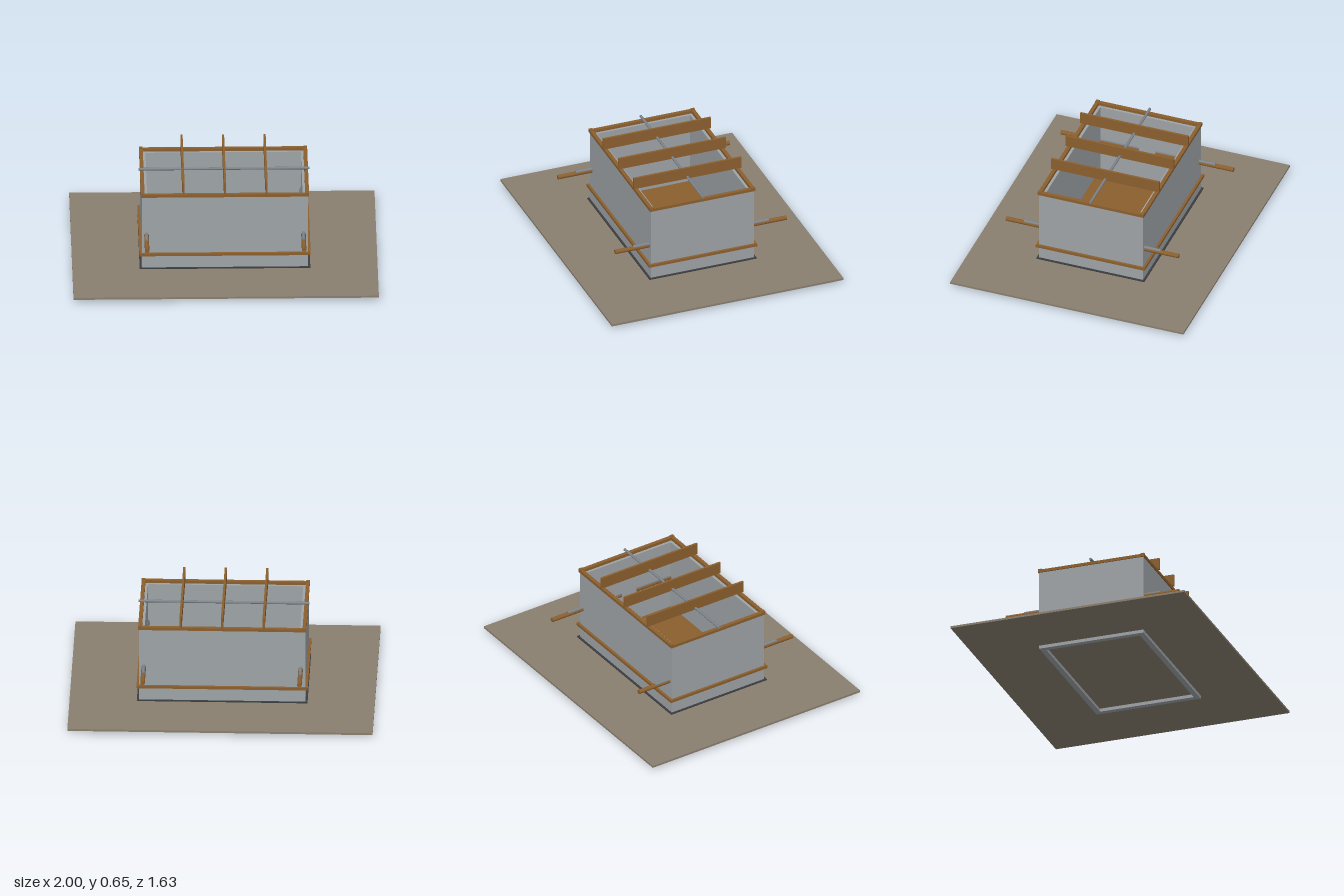
import * as THREE from 'three';

const mat = (color) => new THREE.MeshStandardMaterial({ color });

export function createModel() {
  const model = new THREE.Group();
  const grey = mat(0x9ea3a6), steel = mat(0x7d848a), wood = mat(0x8b5f2e);
  const soil = mat(0x8a7f6f), dark = mat(0x3a3d40);

  // Box given by its size, centre x/z and bottom/top heights
  function box(name, material, w, d, y0, y1, x = 0, z = 0, parent = model) {
    const m = new THREE.Mesh(new THREE.BoxGeometry(w, y1 - y0, d), material);
    m.name = name;
    m.position.set(x, (y0 + y1) / 2, z);
    parent.add(m);
    return m;
  }

  // Rectangular frame of four bars; ox, oz are the outer half sizes
  function frame(name, material, ox, oz, t, y0, y1) {
    const g = new THREE.Group();
    g.name = name;
    for (const s of [-1, 1]) {
      box(name + 'Long', material, 2 * ox, t, y0, y1, 0, s * (oz - t / 2), g);
      box(name + 'Short', material, t, 2 * (oz - t), y0, y1, s * (ox - t / 2), 0, g);
    }
    model.add(g);
    return g;
  }

  // Ground slab and inner floor
  box('ground', soil, 2, 1.63, 0.022, 0.036);
  box('floor', wood, 1.01, 0.66, 0.036, 0.05);

  // Walls of eight stacked courses, reaching below the ground
  const course = 0.0685;
  for (let i = 0; i < 8; i++) {
    frame('wallCourse', grey, 0.545, 0.363, 0.036, i * course, (i + 1) * course);
  }

  // Base flashing, lower belt and top rail
  frame('baseFlashing', dark, 0.559, 0.377, 0.014, 0.036, 0.042);
  frame('lowerBelt', wood, 0.561, 0.38, 0.018, 0.13, 0.148);
  frame('topRail', wood, 0.551, 0.37, 0.025, 0.548, 0.568);
  for (const sx of [-1, 1]) for (const sz of [-1, 1]) {
    box('cornerBlock', wood, 0.024, 0.024, 0.548, 0.573, sx * 0.539, sz * 0.358);
  }

  // Roof beams and the bar running through them
  for (const x of [-0.272, 0, 0.272]) {
    box('roofBeam', wood, 0.015, 0.756, 0.573, 0.653, x);
  }
  const bar = new THREE.Mesh(new THREE.CylinderGeometry(0.009, 0.009, 1.122, 12), steel);
  bar.name = 'ridgeBar';
  bar.rotation.z = Math.PI / 2;
  bar.position.y = 0.583;
  model.add(bar);

  // Carrying poles with a steel rod on top, at each corner
  function rod(name, material, r, x, y, z0, z1) {
    const m = new THREE.Mesh(new THREE.CylinderGeometry(r, r, Math.abs(z1 - z0), 16), material);
    m.name = name;
    m.rotation.x = Math.PI / 2;
    m.position.set(x, y, (z0 + z1) / 2);
    model.add(m);
  }
  for (const sx of [-1, 1]) for (const sz of [-1, 1]) {
    rod('pole', wood, 0.015, sx * 0.514, 0.274, sz * 0.06, sz * 0.603);
    rod('poleRod', steel, 0.011, sx * 0.514, 0.285, sz * 0.06, sz * 0.477);
  }
  return model;
}
